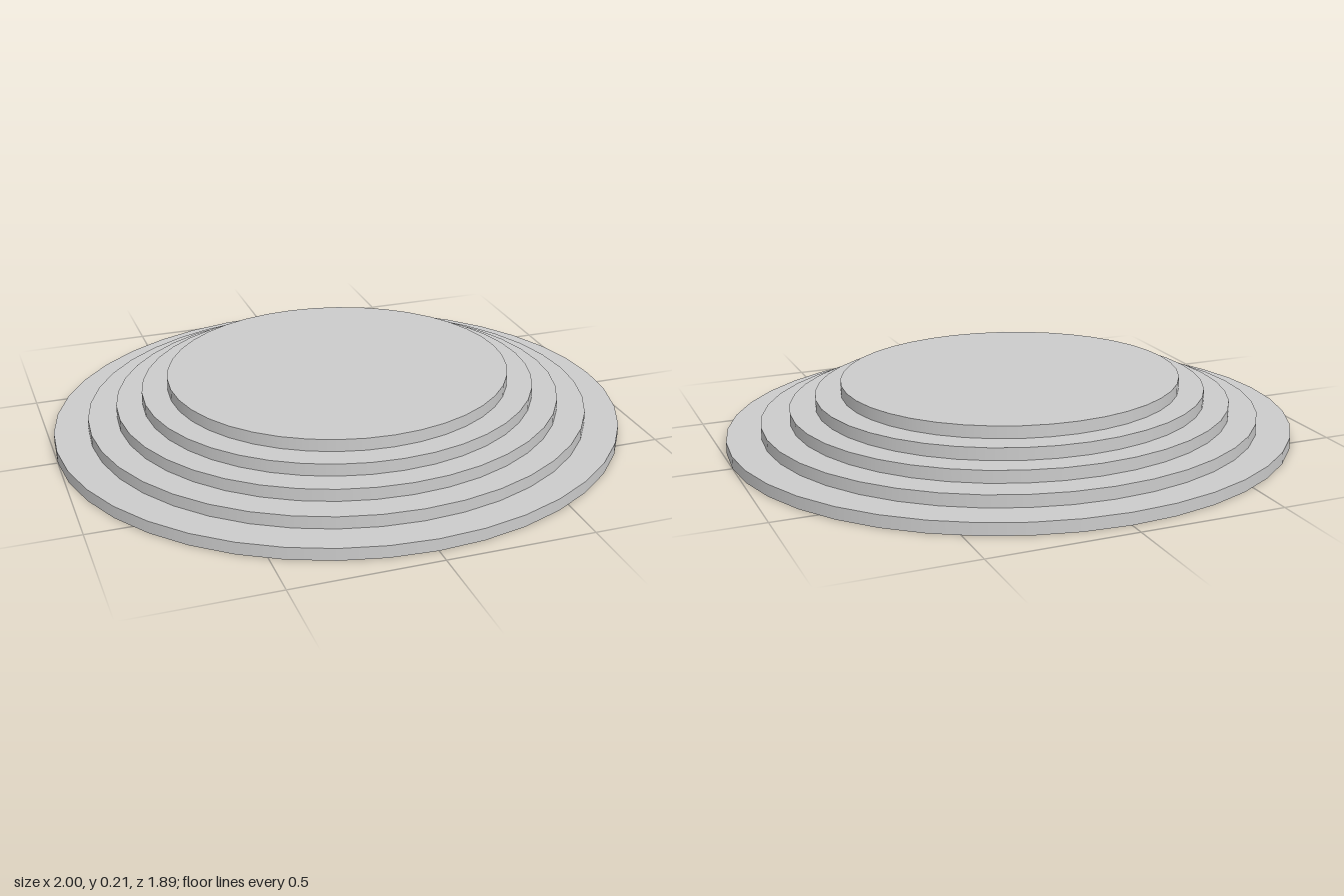
import * as THREE from 'three';

// Five stacked oval steps, each narrower than the one below
export function createModel() {
  const group = new THREE.Group();
  group.name = 'steppedPlatform';
  const material = new THREE.MeshStandardMaterial({ color: 0xcccccc });
  const radii = [1, 0.88, 0.78, 0.69, 0.6];
  const stepHeight = 0.0425;
  const depthRatio = 0.944;

  radii.forEach((radius, i) => {
    const geometry = new THREE.CylinderGeometry(radius, radius, stepHeight, 40);
    geometry.scale(1, 1, depthRatio);
    const step = new THREE.Mesh(geometry, material);
    step.name = `step${i + 1}`;
    step.position.y = (i + 0.5) * stepHeight;
    group.add(step);
  });
  return group;
}
